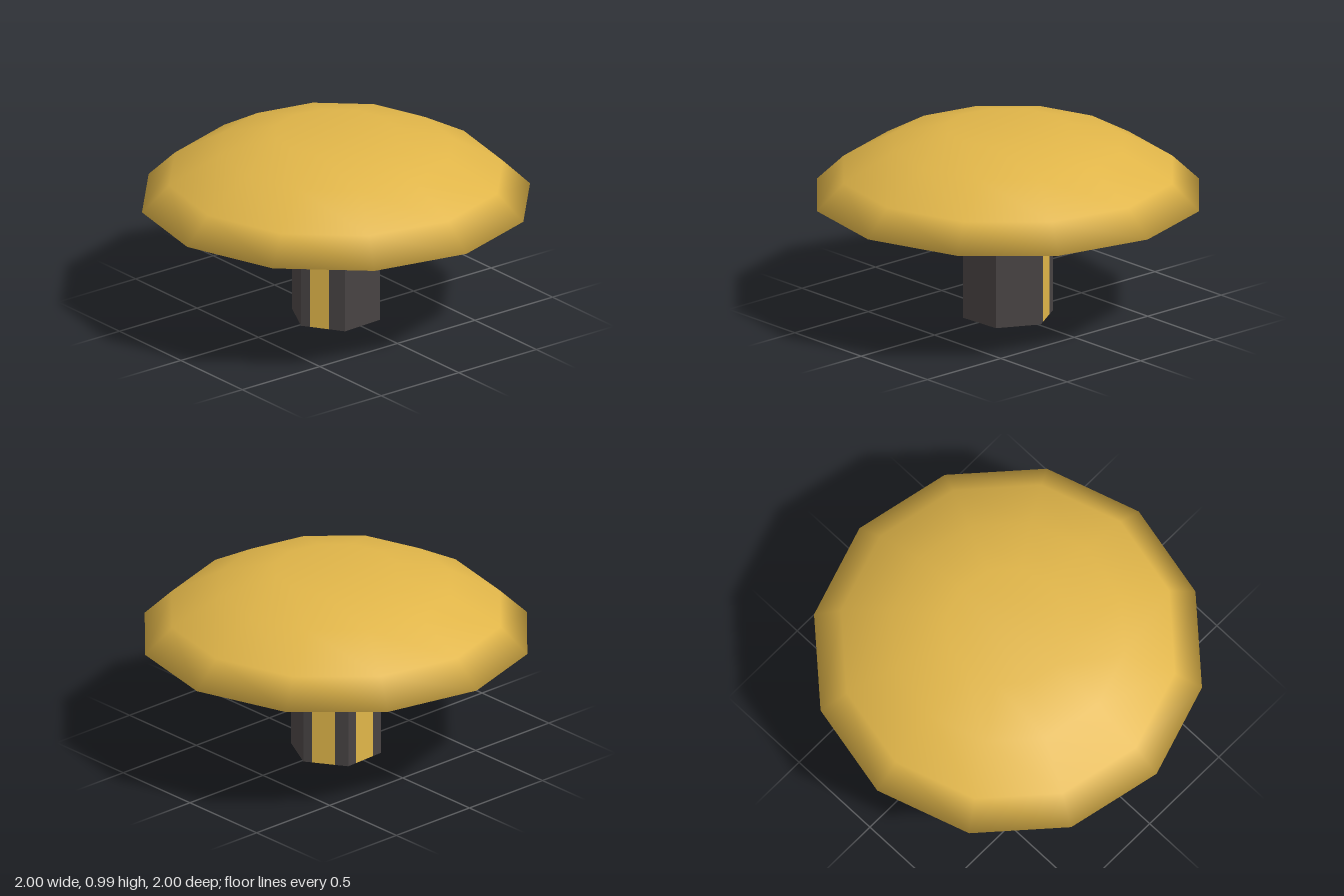
import * as THREE from 'three';

const TURN = -THREE.MathUtils.degToRad(2.9);

function polygon(radius, sides) {
  return Array.from({ length: sides }, (_, j) => {
    const a = TURN + (j / sides) * Math.PI * 2;
    return new THREE.Vector2(Math.cos(a) * radius, Math.sin(a) * radius); // x, z
  });
}

// Smooth twelve-sided dome, closed above and below, sharing normals at the rim
function domeGeometry() {
  const sides = 12;
  const rings = [ // radius, height, outward normal, upward normal
    [1, 0.635, 0.69, -0.28],
    [0.86, 0.77, 0.59, 0.8],
    [0.6, 0.915, 0.374, 0.92],
    [0.315, 0.992, 0.13, 0.98],
  ];
  const positions = [], normals = [], index = [];
  const corners = polygon(1, sides);
  for (const [r, y, out, up] of rings) {
    const len = Math.hypot(out, up);
    for (const c of corners) {
      positions.push(c.x * r, y, c.y * r);
      normals.push(c.x * out / len, up / len, c.y * out / len);
    }
  }
  for (let i = 0; i < rings.length - 1; i++) {
    for (let j = 0; j < sides; j++) {
      const a = i * sides + j, b = i * sides + (j + 1) % sides;
      index.push(a, a + sides, b + sides, a, b + sides, b);
    }
  }
  // Flat underside and flat crown
  const top = (rings.length - 1) * sides;
  for (let j = 1; j < sides - 1; j++) {
    index.push(0, j, j + 1, top, top + j + 1, top + j);
  }
  const geometry = new THREE.BufferGeometry();
  geometry.setAttribute('position', new THREE.Float32BufferAttribute(positions, 3));
  geometry.setAttribute('normal', new THREE.Float32BufferAttribute(normals, 3));
  geometry.setIndex(index);
  return geometry;
}

// Flat faces from a list of corner loops
function facesGeometry(loops) {
  const positions = [];
  for (const loop of loops) {
    for (let i = 1; i < loop.length - 1; i++) {
      for (const p of [loop[0], loop[i], loop[i + 1]]) positions.push(...p);
    }
  }
  const geometry = new THREE.BufferGeometry();
  geometry.setAttribute('position', new THREE.Float32BufferAttribute(positions, 3));
  geometry.computeVertexNormals();
  return geometry;
}

export function createModel() {
  const gold = new THREE.MeshStandardMaterial({ color: 0xe0b549 });
  gold.name = 'gold';
  const charcoal = new THREE.MeshStandardMaterial({ color: 0x484343 });
  charcoal.name = 'charcoal';

  const model = new THREE.Group();
  model.name = 'domedStud';
  const add = (name, geometry, material, parent = model) => {
    const mesh = new THREE.Mesh(geometry, material);
    mesh.name = name;
    parent.add(mesh);
  };

  add('dome', domeGeometry(), gold);

  // Hexagonal stem: three sides carry an upright gold band
  const height = 0.635;
  const v = polygon(0.235, 6);
  const bands = { 2: [0.37, 0.8], 4: [0.24, 0.76], 5: [0.3, 0.81] };
  const dark = [], bright = [];
  for (let k = 0; k < 6; k++) {
    const at = (t) => v[k].clone().lerp(v[(k + 1) % 6], t);
    const stops = [0, ...(bands[k] || []), 1];
    for (let s = 0; s < stops.length - 1; s++) {
      const p = at(stops[s]), q = at(stops[s + 1]);
      (s === 1 ? bright : dark).push([
        [p.x, 0, p.y], [p.x, height, p.y], [q.x, height, q.y], [q.x, 0, q.y],
      ]);
    }
  }

  // Stem base with one gold corner
  const floor = (points) => points.map((p) => [p.x, 0, p.y]);
  const a = v[1].clone().lerp(v[2], 0.47);
  const b = v[2].clone().lerp(v[3], 0.6);
  dark.push(floor([v[0], v[1], a, b, v[3], v[4], v[5]]));
  bright.push(floor([a, v[2], b]));

  const stem = new THREE.Group();
  stem.name = 'stem';
  add('stemBody', facesGeometry(dark), charcoal, stem);
  add('stemBands', facesGeometry(bright), gold, stem);
  model.add(stem);
  return model;
}
